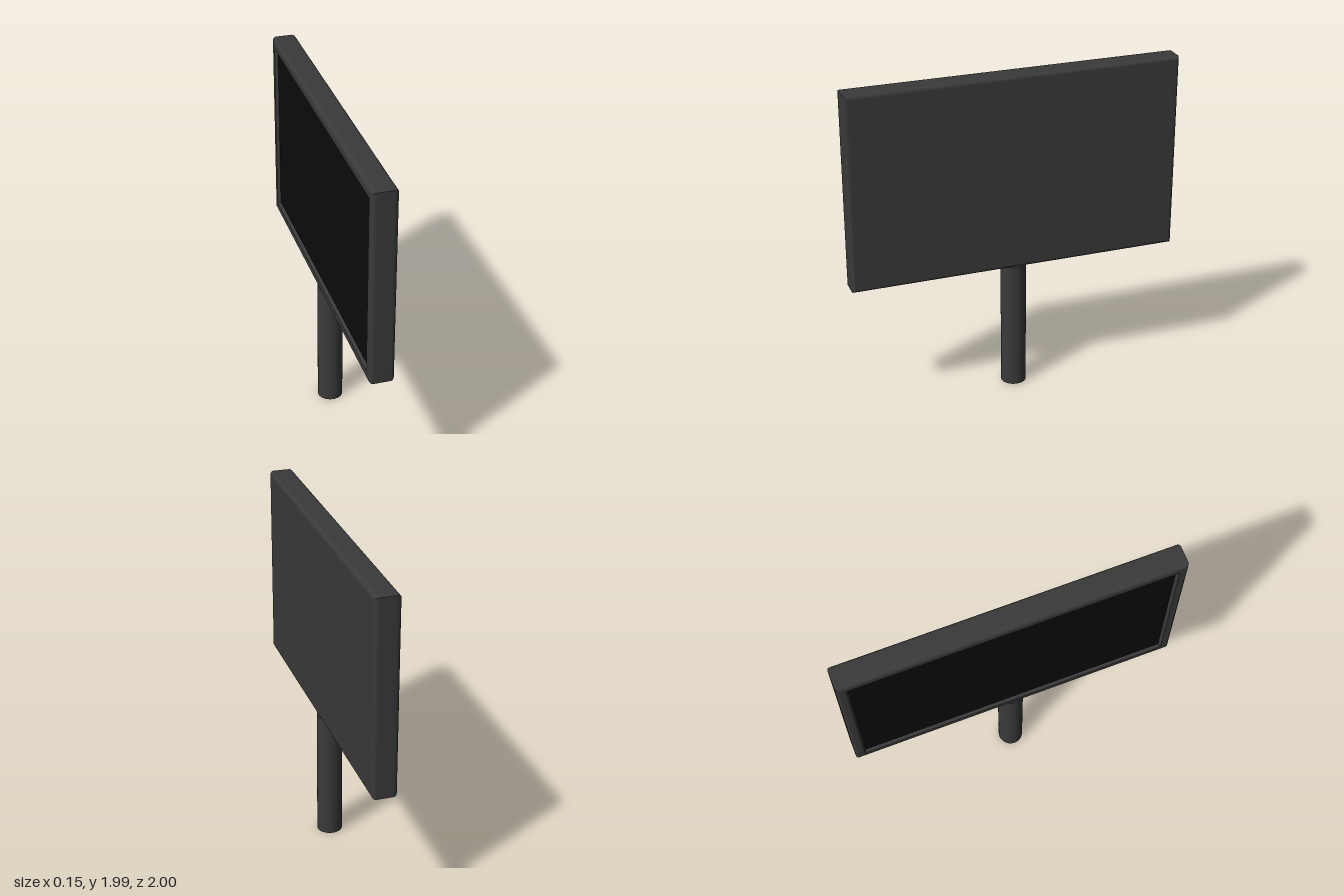
import * as THREE from 'three';
import { toCreasedNormals } from 'three/addons/utils/BufferGeometryUtils.js';

const POLE_HEIGHT = 0.795, POLE_RADIUS = 0.076;
const HALF_Z = 1, HALF_Y = 0.595, HALF_X = 0.073, ROUND = 0.022;
const SCREEN_INSET = 0.066, SCREEN_X = -0.055;

// Skin a run of rectangular rings, each given as [inset from the outline, x], from +x towards -x
function loftRectangles(rings) {
  const positions = [], indices = [];
  for (const [inset, x] of rings) {
    const z = HALF_Z - inset, y = HALF_Y - inset;
    positions.push(x, -y, z, x, -y, -z, x, y, -z, x, y, z);
  }
  indices.push(0, 1, 2, 0, 2, 3); // closed plain side
  for (let i = 0; i < rings.length - 1; i++) {
    for (let j = 0; j < 4; j++) {
      const a = i * 4 + j, b = i * 4 + (j + 1) % 4;
      indices.push(a, a + 4, b, b, a + 4, b + 4);
    }
  }
  const geometry = new THREE.BufferGeometry();
  geometry.setAttribute('position', new THREE.Float32BufferAttribute(positions, 3));
  geometry.setIndex(indices);
  return toCreasedNormals(geometry, 0.6);
}

export function createModel() {
  const casing = new THREE.MeshStandardMaterial({ name: 'charcoal casing', color: 0x3a3a3a });
  const glass = new THREE.MeshStandardMaterial({ name: 'black glass', color: 0x0b0b0b });
  const model = new THREE.Group();
  model.name = 'displayOnPole';

  const add = (name, geometry, material, x, y) => {
    const mesh = new THREE.Mesh(geometry, material);
    mesh.name = name;
    mesh.position.set(x, y, 0);
    model.add(mesh);
  };

  // Round supporting pole
  add('pole', new THREE.CylinderGeometry(POLE_RADIUS, POLE_RADIUS, POLE_HEIGHT, 48), casing, 0, POLE_HEIGHT / 2);

  // Casing: plain back, rounded outer edges, then a bezel stepping into the screen recess
  const rings = [[ROUND + 0.006, HALF_X]];
  for (const side of [1, -1]) {
    for (let i = 0; i <= 4; i++) {
      const angle = (side > 0 ? i : 4 - i) * Math.PI / 8;
      rings.push([ROUND * (1 - Math.sin(angle)), side * (HALF_X - ROUND * (1 - Math.cos(angle)))]);
    }
    if (side > 0) rings.push([0, 0.04], [0, -0.04]);
  }
  rings.push([ROUND + 0.006, -HALF_X], [0.055, -HALF_X], [SCREEN_INSET, SCREEN_X]);
  const centreY = POLE_HEIGHT + HALF_Y;
  add('casing', loftRectangles(rings), casing, 0, centreY);

  // Recessed screen facing -x
  const screen = new THREE.PlaneGeometry(2 * (HALF_Z - SCREEN_INSET), 2 * (HALF_Y - SCREEN_INSET));
  screen.rotateY(-Math.PI / 2);
  add('screen', screen, glass, SCREEN_X, centreY);

  return model;
}
